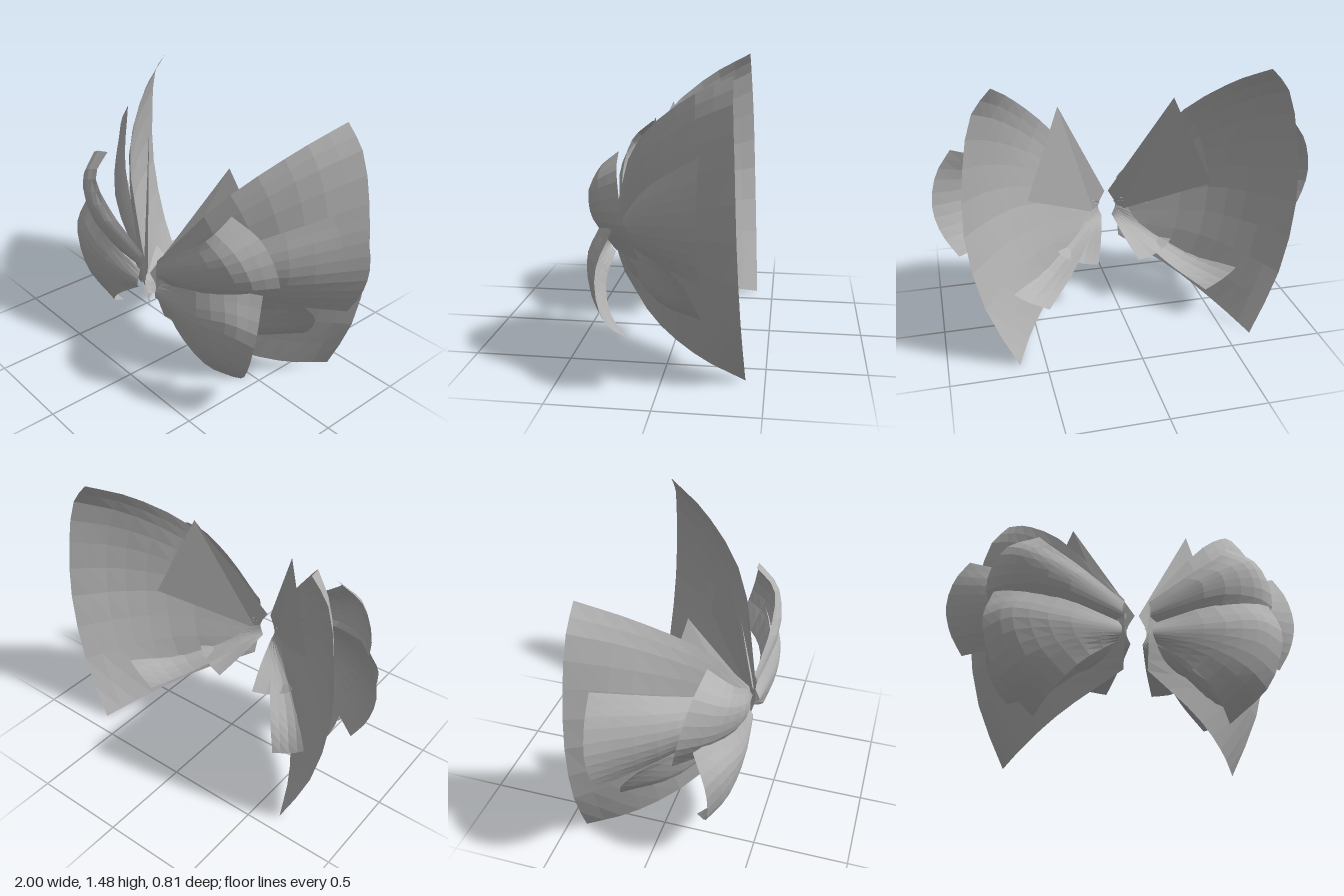
import * as THREE from 'three';

const grey = new THREE.MeshStandardMaterial({ color: 0xb2b2b2, flatShading: true, side: THREE.DoubleSide });
grey.name = 'plain grey';

// Curved petal skinned over rows of points, running from root row to outer row
function petal(name, rows, along = 8, across = 10) {
  const spline = pts => new THREE.CatmullRomCurve3(pts);
  const columns = rows[0].map((_, j) => spline(rows.map(r => new THREE.Vector3(...r[j]))));
  const pos = [], index = [];
  for (let i = 0; i <= along; i++) {
    const section = spline(columns.map(c => c.getPoint(i / along)));
    for (let j = 0; j <= across; j++) pos.push(...section.getPoint(j / across).toArray());
  }
  const w = across + 1;
  for (let i = 0; i < along; i++) for (let j = 0; j < across; j++) {
    const a = i * w + j, b = a + w;
    index.push(a, a + 1, b, a + 1, b + 1, b);
  }
  const geo = new THREE.BufferGeometry();
  geo.setAttribute('position', new THREE.Float32BufferAttribute(pos, 3));
  geo.setIndex(index);
  geo.computeVertexNormals();
  const mesh = new THREE.Mesh(geo, grey);
  mesh.name = name;
  return mesh;
}

function wing(name, side) {
  const g = new THREE.Group();
  g.name = name;

  // Large fan at the back
  g.add(petal('backFan', [
    [[.06, .69, .34], [.06, .63, .35], [.06, .57, .35], [.06, .5, .35], [.06, .42, .33], [.06, .33, .3]],
    [[.37, 1.1, .175], [.42, 1.02, .15], [.47, .88, .11], [.49, .69, .08], [.44, .42, .05], [.35, .17, .08]],
    [[.575, 1.345, -.09], [.64, 1.24, -.1], [.7, 1.02, -.12], [.71, .73, -.14], [.64, .39, -.17], [.53, .06, -.17]],
    [[.69, 1.475, -.33], [.785, 1.36, -.335], [.845, 1.1, -.35], [.865, .75, -.365], [.79, .35, -.385], [.635, 0, -.405]],
  ]));

  // Outer side petal
  g.add(petal('sidePetal', [
    [[.05, .62, .33], [.05, .6, .335], [.06, .58, .34], [.06, .56, .335], [.06, .54, .33]],
    [[.55, .93, .08], [.6, .85, .11], [.61, .75, .12], [.57, .64, .11], [.52, .555, .08]],
    [[.89, 1.145, -.2], [.965, 1.03, -.2], [1, .86, -.2], [.965, .7, -.2], [.89, .565, -.2]],
  ]));

  // Upper front petal, cupped forward
  g.add(petal('upperFrontPetal', [
    [[.06, .68, .34], [.07, .65, .35], [.07, .61, .35], [.08, .56, .31]],
    [[.3, .86, .37], [.39, .83, .405], [.42, .74, .39], [.35, .59, .31]],
    [[.465, .995, .34], [.59, .94, .34], [.65, .79, .29], [.56, .6, .22]],
    [[.5, 1.09, .23], [.68, 1.02, .205], [.765, .81, .16], [.68, .6, .105]],
  ]));

  // Lower front petal, cupped forward
  g.add(petal('lowerFrontPetal', [
    [[.09, .57, .34], [.075, .52, .37], [.08, .49, .37], [.1, .46, .34]],
    [[.36, .67, .36], [.41, .55, .405], [.37, .44, .395], [.27, .34, .36]],
    [[.56, .74, .3], [.64, .59, .36], [.57, .36, .36], [.41, .2, .3]],
    [[.72, .755, .225], [.76, .56, .3], [.68, .29, .285], [.49, .11, .18]],
  ]));

  // Petals folded underneath
  g.add(petal('underPetal', [
    [[.05, .55, .33], [.06, .52, .34], [.06, .5, .335], [.06, .47, .33], [.05, .45, .32]],
    [[.45, .58, .16], [.47, .46, .12], [.45, .34, .08], [.38, .28, .04], [.27, .28, 0]],
    [[.75, .59, -.04], [.75, .48, -.13], [.68, .35, -.175], [.564, .25, -.195], [.44, .19, -.21]],
  ]));
  g.add(petal('smallUnderPetal', [
    [[.04, .54, .34], [.05, .52, .34], [.05, .5, .34], [.04, .47, .34], [.03, .45, .34]],
    [[.23, .52, .29], [.25, .44, .26], [.21, .38, .23], [.15, .36, .2], [.07, .37, .18]],
    [[.4, .5, .2], [.37, .42, .155], [.32, .34, .115], [.22, .295, .07], [.118, .29, .035]],
  ]));

  // Flat rear blade
  g.add(petal('rearBlade', [
    [[.01, .6, .35], [.08, .48, .33]],
    [[.3175, 1.23, .08], [.51, .76, -.035]],
  ], 1, 1));

  g.scale.x = side;
  return g;
}

export function createModel() {
  const model = new THREE.Group();
  model.name = 'petalWings';
  model.add(wing('leftWing', 1), wing('rightWing', -1));
  return model;
}
